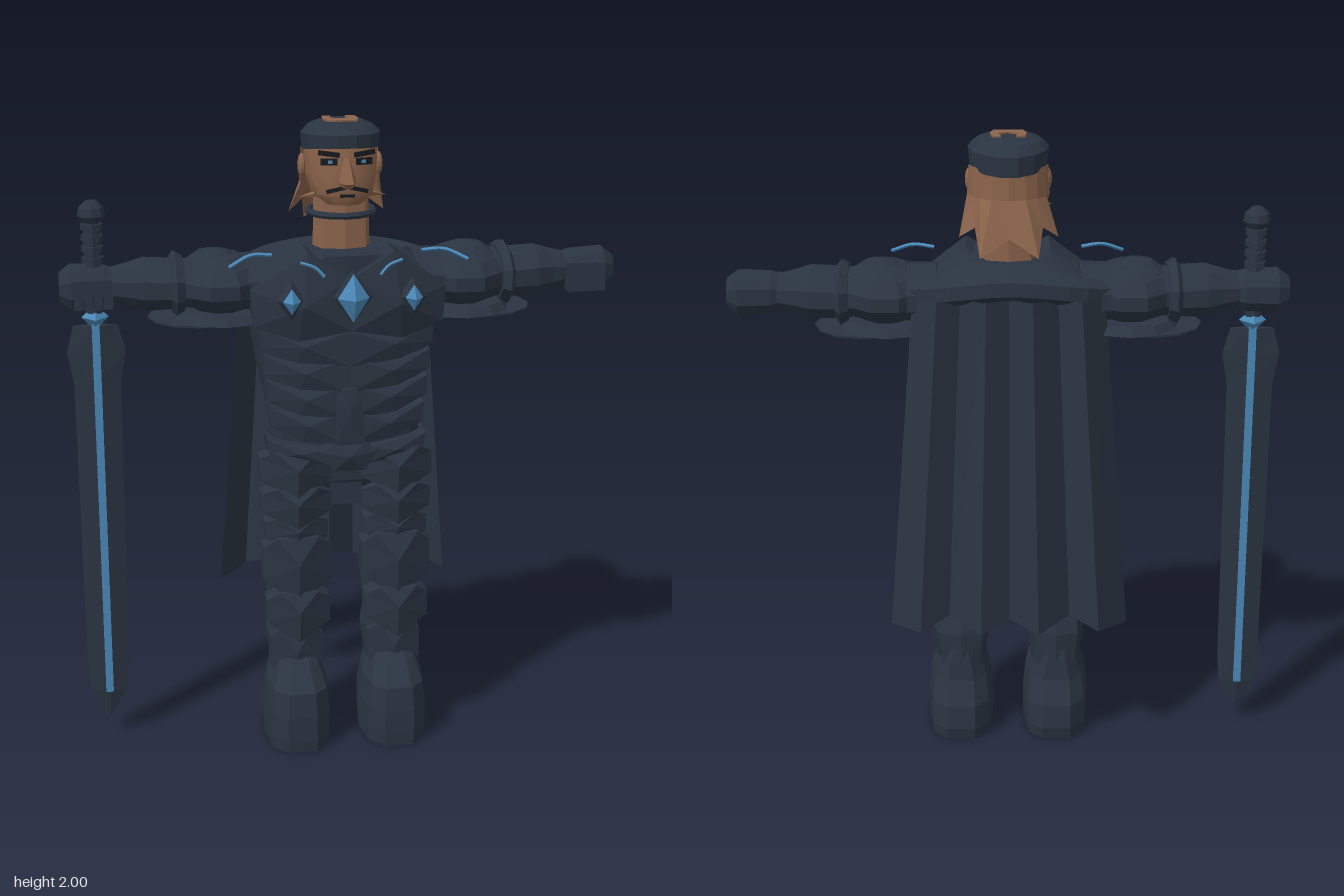
import * as THREE from 'three';
import { toCreasedNormals } from 'three/addons/utils/BufferGeometryUtils.js';

const V = (x, y, z) => new THREE.Vector3(x, y, z);
const paint = (name, color, side = THREE.FrontSide) => {
  const m = new THREE.MeshStandardMaterial({ color, side });
  m.name = name;
  return m;
};

// Facet a geometry so that every triangle has its own normal
const flat = (geo) => {
  const g = geo.index ? geo.toNonIndexed() : geo;
  g.deleteAttribute('uv');
  g.computeVertexNormals();
  return g;
};

// Mirror in x, with the corner order swapped back
const mirrored = (geo) => {
  const g = flat(geo.clone()).scale(-1, 1, 1);
  const a = g.attributes.position.array;
  for (let i = 0; i < a.length; i += 9) {
    for (let k = 3; k < 6; k++) [a[i + k], a[i + k + 3]] = [a[i + k + 3], a[i + k]];
  }
  g.computeVertexNormals();
  return g;
};

const fromTriangles = (pos, idx) => {
  const g = new THREE.BufferGeometry();
  g.setAttribute('position', new THREE.Float32BufferAttribute(pos, 3));
  g.setIndex(idx);
  return g;
};

// Closed body through superellipse sections [y, half width, front z, back z]
function loft(sections, n = 8, power = 2, cx = 0) {
  const pos = [], idx = [], last = (sections.length - 1) * n;
  const soft = (v) => Math.sign(v) * Math.abs(v) ** (2 / power);
  for (const [y, rx, front, back] of sections) {
    for (let j = 0; j < n; j++) {
      const a = (j / n) * Math.PI * 2;
      pos.push(cx + rx * soft(Math.cos(a)), y, (front + back) / 2 + ((front - back) / 2) * soft(Math.sin(a)));
    }
  }
  const lo = sections[0], hi = sections[sections.length - 1], c = pos.length / 3;
  pos.push(cx, lo[0], (lo[2] + lo[3]) / 2, cx, hi[0], (hi[2] + hi[3]) / 2);
  for (let j = 0; j < n; j++) {
    const k = (j + 1) % n;
    for (let i = 0; i < last; i += n) idx.push(i + j, i + n + j, i + k, i + k, i + n + j, i + n + k);
    idx.push(c, j, k, c + 1, last + k, last + j);
  }
  return fromTriangles(pos, idx);
}

// Armour plate: anticlockwise outline, raised centre, skirt going back
function plate(outline, z, bulge, { cx = 0, curve = 0.6, depth = 0.1 } = {}) {
  const pos = [], idx = [], n = outline.length;
  let mx = 0, my = 0;
  for (const [x, y] of outline) {
    const zz = z - curve * (x - cx) ** 2;
    pos.push(x, y, zz, x, y, zz - depth);
    mx += x / n; my += y / n;
  }
  pos.push(mx, my, z - curve * (mx - cx) ** 2 + bulge);
  for (let i = 0; i < n; i++) {
    const p = 2 * i, q = 2 * ((i + 1) % n);
    idx.push(2 * n, p, q, p, p + 1, q + 1, p, q + 1, q);
  }
  return fromTriangles(pos, idx);
}

// Open sheet through rows of equally many points
function sheet(rows) {
  const n = rows[0].length, idx = [];
  for (let r = 0; r < rows.length - 1; r++) {
    for (let i = r * n; i < r * n + n - 1; i++) idx.push(i, i + 1, i + n, i + n, i + 1, i + n + 1);
  }
  return fromTriangles(rows.flat(2), idx);
}

const box = (w, h, d, x, y, z, ry = 0, rz = 0) =>
  new THREE.BoxGeometry(w, h, d).rotateZ(rz).rotateY(ry).translate(x, y, z);
const gem = (w, h, d, x, y, z) => new THREE.OctahedronGeometry(1).scale(w, h, d).translate(x, y, z);
const ball = (rx, ry, rz, x, y, z) => new THREE.SphereGeometry(1, 10, 7).scale(rx, ry, rz).translate(x, y, z);
const tube = (pts, r, sides = 5, steps = 8) =>
  new THREE.TubeGeometry(new THREE.CatmullRomCurve3(pts.map((p) => V(...p))), steps, r, sides);
const spike = (from, to, r) => {
  const a = V(...from), d = V(...to).sub(a);
  return new THREE.ConeGeometry(r, d.length(), 5).translate(0, d.length() / 2, 0)
    .applyQuaternion(new THREE.Quaternion().setFromUnitVectors(V(0, 1, 0), d.normalize())).translate(...from);
};

export function createModel() {
  const armour = paint('dark armour', 0x2a3441), cloth = paint('cape cloth', 0x2a3441, THREE.DoubleSide);
  const skin = paint('brown skin', 0x8a634b), strands = paint('brown hair', 0x8a634b, THREE.DoubleSide);
  const blue = paint('blue crystal', 0x4a87b6), ink = paint('black ink', 0x17191d);
  const root = new THREE.Group();
  const group = (name) => { const g = new THREE.Group(); g.name = name; root.add(g); return g; };
  const add = (parent, name, geo, mat) => {
    const m = new THREE.Mesh(flat(geo), mat);
    m.name = name;
    parent.add(m);
    return m;
  };
  const pair = (parent, name, geo, mat) => {
    add(parent, name + 'Left', geo, mat);
    add(parent, name + 'Right', mirrored(geo), mat);
  };

  // Torso with chest, belly and belt plates
  const torso = group('torso');
  add(torso, 'body', loft([[0.84, 0.23, 0.1, -0.13], [0.88, 0.25, 0.12, -0.14], [1, 0.25, 0.13, -0.13], [1.12, 0.24, 0.14, -0.125],
    [1.26, 0.27, 0.15, -0.115], [1.42, 0.3, 0.17, -0.1], [1.51, 0.295, 0.19, -0.13], [1.57, 0.23, 0.19, -0.17], [1.615, 0.13, 0.19, -0.09]], 16, 3.6), armour);
  pair(torso, 'chestPlate', plate([[0, 1.39], [0.16, 1.36], [0.29, 1.4], [0.3, 1.51], [0.13, 1.63], [0, 1.55]], 0.22, 0.035, { depth: 0.16 }), armour);
  for (let i = 0; i < 4; i++) {
    const y = 1.37 - i * 0.085, w = 0.265 - i * 0.008;
    pair(torso, 'bellyPlate' + i, plate([[0, y - 0.1], [w * 0.6, y - 0.085], [w, y - 0.04], [w, y + 0.02], [w * 0.55, y - 0.01], [0, y + 0.01]], 0.187 - i * 0.004, 0.014), armour);
  }
  add(torso, 'centrePlate', plate([[-0.045, 1.02], [0.045, 1.02], [0.04, 1.17], [0.02, 1.2], [-0.02, 1.2], [-0.04, 1.17]], 0.192, 0.01), armour);
  add(torso, 'buckle', plate([[-0.05, 0.93], [0.05, 0.93], [0.09, 0.99], [0.05, 1.02], [-0.05, 1.02], [-0.09, 0.99]], 0.175, 0.02), armour);
  add(torso, 'loinCloth', box(0.1, 0.14, 0.03, 0, 0.87, 0.1), armour);
  pair(torso, 'beltPlate', plate([[0.06, 0.95], [0.24, 0.97], [0.25, 1.03], [0.06, 1.0]], 0.17, 0.01), armour);

  // Blue crystals in dark settings, and glowing lines
  add(torso, 'centreSetting', gem(0.06, 0.085, 0.05, 0, 1.5, 0.235), armour);
  add(torso, 'centreGem', gem(0.048, 0.075, 0.045, 0, 1.5, 0.253), blue);
  pair(torso, 'sideSetting', gem(0.044, 0.062, 0.045, 0.185, 1.495, 0.228), armour);
  pair(torso, 'sideGem', gem(0.027, 0.04, 0.033, 0.185, 1.495, 0.25), blue);
  pair(torso, 'chestLine', tube([[0.085, 1.565, 0.235], [0.11, 1.59, 0.226], [0.155, 1.605, 0.212]], 0.005, 4), blue);
  pair(torso, 'shoulderLine', tube([[0.23, 1.613, 0.13], [0.295, 1.618, 0.145], [0.365, 1.59, 0.175]], 0.006, 4), blue);

  // Arms: shoulder balls over flat skirts, sleeve, bracer, fist
  const arms = group('arms');
  const sideways = (sections, n, power) => loft(sections, n, power).rotateZ(-Math.PI / 2).translate(0, 1.508, 0);
  pair(arms, 'upperArm', sideways([[0.22, 0.085, 0.16, -0.16], [0.34, 0.085, 0.15, -0.15], [0.5, 0.075, 0.11, -0.11], [0.62, 0.065, 0.08, -0.08]], 10, 2), armour);
  pair(arms, 'shoulderBall', ball(0.145, 0.095, 0.185, 0.375, 1.508, 0.005), armour);
  pair(arms, 'shoulderCap', ball(0.115, 0.1, 0.115, 0.395, 1.515, 0), armour);
  pair(arms, 'innerSkirt', new THREE.CylinderGeometry(0.14, 0.16, 0.025, 12).scale(1, 1, 1.15).translate(0.37, 1.42, 0.005), armour);
  pair(arms, 'outerSkirt', new THREE.CylinderGeometry(0.155, 0.155, 0.006, 12).translate(0.445, 1.404, 0), armour);
  pair(arms, 'bracer', sideways([[0.49, 0.085, 0.13, -0.13], [0.515, 0.1, 0.145, -0.145], [0.53, 0.078, 0.12, -0.12], [0.61, 0.085, 0.105, -0.105],
    [0.66, 0.07, 0.08, -0.08], [0.72, 0.055, 0.06, -0.06]], 10, 2.1), armour);
  pair(arms, 'fist', sideways([[0.69, 0.05, 0.055, -0.055], [0.73, 0.066, 0.07, -0.07], [0.83, 0.072, 0.07, -0.075], [0.865, 0.045, 0.045, -0.05]], 10, 2.4), armour);
  for (let i = 0; i < 4; i++) pair(arms, 'finger' + i, box(0.027, 0.09, 0.05, 0.72 + i * 0.03, 1.5, 0.07), armour);

  // Legs with layered plates and heavy boots
  const legs = group('legs');
  pair(legs, 'leg', loft([[0.22, 0.075, 0.12, -0.07], [0.36, 0.095, 0.12, -0.075], [0.44, 0.085, 0.1, -0.055], [0.6, 0.1, 0.1, -0.065],
    [0.8, 0.105, 0.1, -0.07], [0.92, 0.1, 0.12, -0.08]], 8, 2.5, 0.155), armour);
  pair(legs, 'boot', loft([[0, 0.105, 0.235, -0.11], [0.04, 0.107, 0.24, -0.12], [0.12, 0.107, 0.24, -0.115], [0.2, 0.098, 0.23, -0.08],
    [0.265, 0.075, 0.17, -0.075], [0.3, 0.06, 0.12, -0.07]], 10, 2.8, 0.157), armour);
  // Each row: top, bottom, half width, front z
  const legPlates = [[0.99, 0.85, 0.115, 0.165], [0.87, 0.75, 0.11, 0.165], [0.77, 0.67, 0.1, 0.155], [0.71, 0.5, 0.108, 0.175], [0.53, 0.375, 0.1, 0.185], [0.39, 0.2, 0.085, 0.13]];
  legPlates.forEach(([top, low, w, z], i) => {
    const c = 0.158, drop = (top - low) * 0.3;
    pair(legs, 'legPlate' + i, plate([[c - w, low + drop], [c, low - 0.01], [c + w, low + drop], [c + w, top - drop * 0.6], [c + w * 0.6, top], [c - w * 0.6, top], [c - w, top - drop * 0.6]],
      z, 0.014, { cx: c, curve: 3.5, depth: 0.07 }), armour);
  });

  // Pleated cape and rolled mantle
  const cape = group('cape');
  const hem = [[-0.375, -0.165], [-0.28, -0.27], [-0.19, -0.21], [-0.09, -0.295], [0, -0.235], [0.09, -0.295], [0.19, -0.21], [0.28, -0.27], [0.375, -0.165]];
  add(cape, 'pleats', sheet([hem.map(([x, z], i) => [x, i % 2 ? 0.47 : Math.abs(x) > 0.3 ? 0.455 : 0.5, z]),
    hem.map(([x, z]) => [x * 0.78, 1.53, z * 0.75 - 0.005])]), cloth);
  add(cape, 'mantle', tube([[-0.31, 1.52, -0.08], [-0.2, 1.545, -0.155], [0, 1.565, -0.175], [0.2, 1.545, -0.155], [0.31, 1.52, -0.08]], 0.042, 6, 12), armour);

  // Head and neck
  const head = group('head');
  add(head, 'neck', loft([[1.54, 0.09, 0.09, -0.06], [1.8, 0.085, 0.085, -0.06]], 8, 2.6), skin);
  add(head, 'choker', new THREE.TorusGeometry(0.1, 0.011, 6, 16).rotateX(Math.PI / 2).translate(0, 1.72, 0.01), armour);
  const skull = add(head, 'skull', loft([[1.755, 0.06, 0.125, -0.03], [1.785, 0.096, 0.138, -0.08], [1.84, 0.11, 0.135, -0.115], [1.9, 0.114, 0.13, -0.128],
    [1.96, 0.11, 0.12, -0.12]], 12, 2.3), skin);
  skull.geometry = toCreasedNormals(skull.geometry, 0.7);
  add(head, 'nose', loft([[1.812, 0.022, 0.16, 0.1], [1.828, 0.026, 0.182, 0.1], [1.9, 0.01, 0.138, 0.1]], 6), skin);
  pair(head, 'ear', ball(0.014, 0.036, 0.025, 0.118, 1.86, -0.005), skin);

  // Hair fanning out behind into points: [degrees from the back, tip radius, tip height]
  const tips = [[84, 0.12, 1.8], [62, 0.17, 1.7], [43, 0.15, 1.735], [24, 0.215, 1.66], [0, 0.155, 1.71]];
  const fan = [...tips, ...tips.slice(0, 4).reverse().map(([a, r, y]) => [-a, r, y])];
  const ring = (a, r, y) => [r * Math.sin(a * Math.PI / 180), y, -0.01 - (r * Math.cos(a * Math.PI / 180)) * 0.95];
  add(head, 'hair', sheet([fan.map(([a, r, y]) => ring(a, r, y)), fan.map(([a]) => ring(a, 0.126, 1.82)), fan.map(([a]) => ring(a, 0.121, 1.91))]), strands);
  pair(head, 'beard', spike([0.06, 1.785, 0.06], [0.135, 1.77, 0.04], 0.016), skin);

  // Painted face
  pair(head, 'brow', box(0.065, 0.014, 0.009, 0.054, 1.912, 0.122, 0.23, 0.12), ink);
  pair(head, 'eye', box(0.05, 0.02, 0.009, 0.053, 1.888, 0.121, 0.23), ink);
  pair(head, 'iris', box(0.014, 0.01, 0.006, 0.05, 1.888, 0.125, 0.23), blue);
  pair(head, 'moustache', box(0.06, 0.011, 0.009, 0.034, 1.806, 0.135, 0.23, -0.25), ink);
  add(head, 'lowerLip', box(0.045, 0.008, 0.009, 0, 1.787, 0.137), ink);

  // Cap, lower at the back, with a horseshoe opening on top
  const cap = loft([[1.91, 0.118, 0.14, -0.14], [1.96, 0.123, 0.142, -0.143], [1.982, 0.1, 0.11, -0.115], [1.995, 0.07, 0.07, -0.07]], 14);
  const p = cap.attributes.position;
  for (let i = 0; i < p.count; i++) p.setY(i, p.getY(i) + p.getZ(i) * (1.995 - p.getY(i)) * 1.6);
  add(head, 'cap', cap, armour);
  const shoe = new THREE.Shape([[-0.045, -0.045], [0.045, -0.045], [0.055, 0], [0.05, 0.05], [0.022, 0.055], [0.03, 0.01],
    [0, -0.008], [-0.03, 0.01], [-0.022, 0.055], [-0.05, 0.05], [-0.055, 0]].map(([x, y]) => new THREE.Vector2(x, y)));
  add(head, 'capOpening', new THREE.ExtrudeGeometry(shoe, { depth: 0.009, bevelEnabled: false }).rotateX(-Math.PI / 2).translate(0, 1.991, 0), skin);

  // Sword held point down in the right hand
  const sword = group('sword');
  sword.position.x = -0.76;
  add(sword, 'blade', loft([[0.07, 0.002, 0.002, -0.002], [0.16, 0.058, 0.014, -0.014], [0.25, 0.066, 0.018, -0.018], [1.2, 0.072, 0.018, -0.018],
    [1.3, 0.09, 0.018, -0.018], [1.385, 0.068, 0.018, -0.018]], 4), armour);
  for (const s of [-1, 1]) add(sword, 'fuller', box(0.024, 1.23, 0.008, 0, 0.775, s * 0.016), blue);
  add(sword, 'guardGem', gem(0.042, 0.042, 0.05, 0, 1.41, 0), blue);
  add(sword, 'grip', new THREE.CylinderGeometry(0.026, 0.026, 0.31, 8).translate(0, 1.58, 0), armour);
  for (let i = 0; i < 4; i++) add(sword, 'gripRing', new THREE.CylinderGeometry(0.034, 0.034, 0.018, 8).translate(0, 1.59 + i * 0.034, 0), armour);
  add(sword, 'pommel', loft([[1.705, 0.028, 0.028, -0.028], [1.725, 0.042, 0.042, -0.042], [1.75, 0.038, 0.038, -0.038], [1.77, 0.018, 0.018, -0.018]], 8), armour);
  return root;
}
